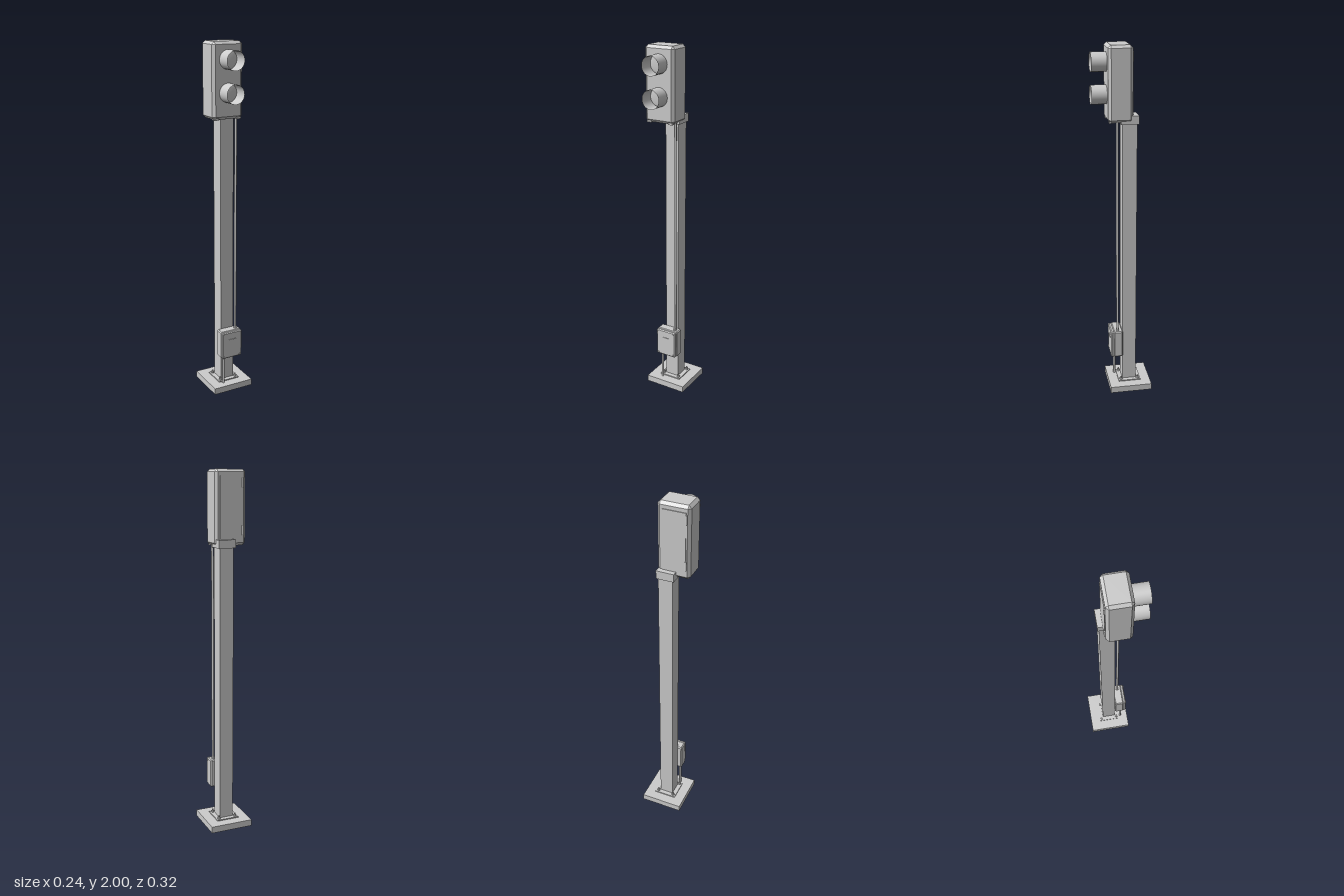
import * as THREE from 'three';
import { ConvexGeometry } from 'three/addons/geometries/ConvexGeometry.js';

export function createModel() {
  const model = new THREE.Group();
  const grey = new THREE.MeshStandardMaterial({ color: 0xcccccc, side: THREE.DoubleSide });
  grey.name = 'light grey metal';

  const add = (name, geometry, x, y, z, parent = model) => {
    const mesh = new THREE.Mesh(geometry, grey);
    mesh.name = name;
    mesh.position.set(x, y, z);
    parent.add(mesh);
    return mesh;
  };
  const box = (name, x0, x1, y0, y1, z0, z1) =>
    add(name, new THREE.BoxGeometry(x1 - x0, y1 - y0, z1 - z0), (x0 + x1) / 2, (y0 + y1) / 2, (z0 + z1) / 2);
  const rod = (name, r, x, y0, y1, z, sides = 16) =>
    add(name, new THREE.CylinderGeometry(r, r, y1 - y0, sides), x, (y0 + y1) / 2, z);

  // Box with every edge bevelled by c
  const bevelBox = (name, x0, x1, y0, y1, z0, z1, c) => {
    const h = [(x1 - x0) / 2, (y1 - y0) / 2, (z1 - z0) / 2];
    const points = [];
    for (const sx of [-1, 1]) for (const sy of [-1, 1]) for (const sz of [-1, 1])
      for (let full = 0; full < 3; full++) {
        const p = h.map((v, i) => (i === full ? v : v - c));
        points.push(new THREE.Vector3(sx * p[0], sy * p[1], sz * p[2]));
      }
    return add(name, new ConvexGeometry(points), (x0 + x1) / 2, (y0 + y1) / 2, (z0 + z1) / 2);
  };

  // Footing, flange and anchor bolts
  const pz = -0.0385;
  box('basePlate', -0.122, 0.122, 0, 0.037, -0.16, 0.083);
  box('postFlange', -0.065, 0.065, 0.037, 0.043, pz - 0.065, pz + 0.065);
  for (const sx of [-1, 1]) for (const sz of [-1, 1]) {
    rod('anchorNut', 0.009, sx * 0.049, 0.043, 0.052, pz + sz * 0.049, 6);
    rod('anchorBolt', 0.005, sx * 0.049, 0.052, 0.061, pz + sz * 0.049, 10);
  }

  // Square post and its cap
  box('post', -0.04, 0.04, 0.037, 1.6, pz - 0.04, pz + 0.04);
  box('postCap', -0.049, 0.049, 1.59, 1.635, pz - 0.048, pz + 0.048);

  // Signal housing
  const hx = -0.0335;
  bevelBox('signalHousing', -0.122, 0.055, 1.6, 2, -0.055, 0.077, 0.015);
  box('rearDoor', -0.1, 0.028, 1.635, 1.965, -0.059, -0.054);
  for (const y of [1.68, 1.93]) rod('doorHinge', 0.006, -0.1, y - 0.025, y + 0.025, -0.057, 12);
  for (const sx of [-1, 1])
    box('bottomClip', hx + sx * 0.065 - 0.013, hx + sx * 0.065 + 0.013, 1.598, 1.609, 0.045, 0.073);

  // Lamps: open round hoods with shallow domed lenses
  for (const y of [1.738, 1.908]) {
    const lamp = new THREE.Group();
    lamp.name = 'lamp';
    lamp.position.set(hx, y, 0.077);
    model.add(lamp);
    const hood = add('hood', new THREE.CylinderGeometry(0.051, 0.051, 0.083, 40, 1, true), 0, 0, 0.0415, lamp);
    hood.rotation.x = Math.PI / 2;
    const lens = add('lens', new THREE.SphereGeometry(0.05, 32, 8, 0, Math.PI * 2, 0, Math.PI / 2), 0, 0, 0.002, lamp);
    lens.rotation.x = Math.PI / 2;
    lens.scale.y = 0.15;
  }

  // Junction box with lid, screws, label plate and latch
  bevelBox('junctionBox', -0.066, 0.063, 0.205, 0.37, 0.001, 0.055, 0.006);
  bevelBox('junctionLid', -0.064, 0.061, 0.207, 0.368, 0.05, 0.07, 0.005);
  for (const x of [-0.052, 0.049]) for (const y of [0.219, 0.356]) {
    const screw = rod('lidScrew', 0.005, x, y - 0.002, y + 0.002, 0.0705, 12);
    screw.rotation.x = Math.PI / 2;
  }
  box('labelPlate', -0.025, 0.022, 0.316, 0.324, 0.069, 0.073);

  // Conduits: one up to the housing, one down to the base
  rod('upperConduit', 0.007, 0.038, 0.36, 1.61, 0.03);
  rod('lowerConduit', 0.007, -0.043, 0.037, 0.215, 0.037);
  rod('upperConduitCollar', 0.01, 0.038, 0.365, 0.378, 0.03);
  rod('lowerConduitCollar', 0.01, -0.043, 0.197, 0.21, 0.037);

  return model;
}
